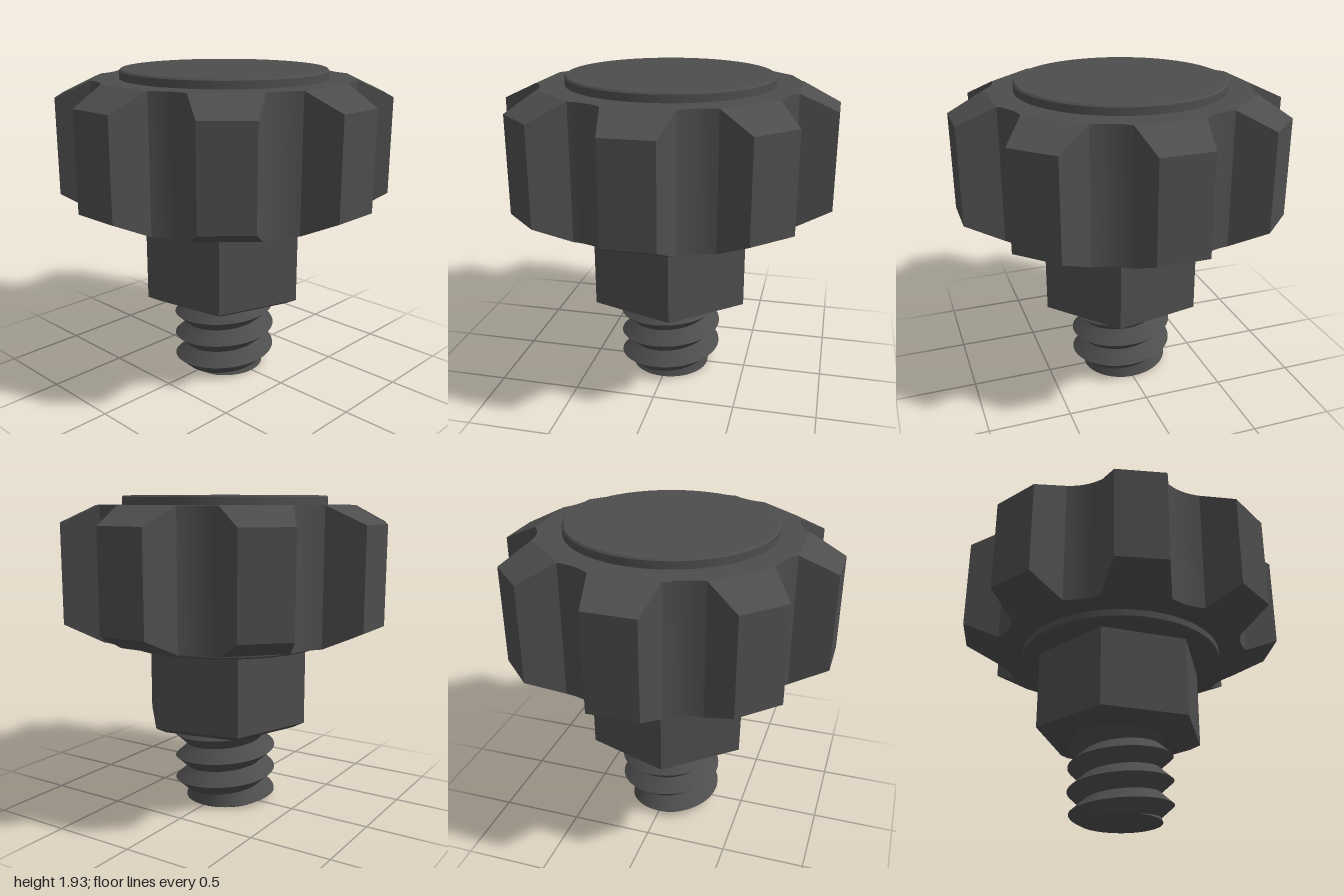
import * as THREE from 'three';
import { toCreasedNormals } from 'three/addons/utils/BufferGeometryUtils.js';

const TEETH = 8, STEP = Math.PI * 2 / TEETH;
const BASE_Z = 0.775, BASE_HALF = 0.2;         // root of each grip tooth
const KNOB_BOTTOM = 1.08, KNOB_HEIGHT = 0.795;

// Round body with a shallow concave scallop between every two teeth
function knobBody() {
  const r = Math.hypot(BASE_Z, BASE_HALF), half = Math.atan2(BASE_HALF, BASE_Z);
  const at = (radius, a) => [radius * Math.cos(a), radius * Math.sin(a)];
  const shape = new THREE.Shape();
  shape.moveTo(...at(r, -half));
  for (let i = 0; i < TEETH; i++) {
    const a = i * STEP;
    shape.lineTo(...at(r, a + half));
    shape.quadraticCurveTo(...at(0.755, a + STEP / 2), ...at(r, a + STEP - half));
  }
  const geo = new THREE.ExtrudeGeometry(shape, { depth: KNOB_HEIGHT, bevelEnabled: false, curveSegments: 8 });
  geo.rotateX(-Math.PI / 2).translate(0, KNOB_BOTTOM, 0);
  return toCreasedNormals(geo, 0.4);
}

// Box narrowed in width and height towards its outer end
function toothGeometry() {
  const geo = new THREE.BoxGeometry(BASE_HALF * 2, KNOB_HEIGHT, 0.225);
  const p = geo.attributes.position;
  for (let i = 0; i < p.count; i++) {
    if (p.getZ(i) > 0) p.setXY(i, p.getX(i) * 0.76, p.getY(i) * 0.735);
  }
  geo.translate(0, KNOB_BOTTOM + KNOB_HEIGHT / 2, BASE_Z + 0.1125);
  geo.computeVertexNormals();
  return geo;
}

// V-shaped helical thread, tapering to the core at its tip
function threadGeometry() {
  const N = 64, pitch = 0.15, outer = 0.322, core = 0.24, top = 0.53;
  const pos = [], index = [], kMin = -8, kMax = 4, rows = kMax - kMin + 1;
  for (let i = 0; i <= N; i++) {
    const a = i / N * Math.PI * 2, crest = 0.445 - pitch * i / N;
    for (let k = kMin; k <= kMax; k++) {
      const y = THREE.MathUtils.clamp(crest + k * pitch / 2, 0, top);
      const turns = (y - crest) / pitch, off = Math.abs(turns - Math.round(turns));
      const r = Math.min(outer - (outer - core) * 2 * off, 0.25 + y * 1.8);
      pos.push(r * Math.cos(a), y, r * Math.sin(a));
    }
  }
  for (let i = 0; i < N; i++) {
    for (let k = 0; k < rows - 1; k++) {
      const a = i * rows + k, b = a + 1, c = a + rows, d = c + 1;
      index.push(a, b, c, b, d, c);
    }
  }
  const geo = new THREE.BufferGeometry();
  geo.setAttribute('position', new THREE.Float32BufferAttribute(pos, 3));
  geo.setIndex(index);
  return toCreasedNormals(geo, 0.6);
}

export function createModel() {
  const model = new THREE.Group();
  model.name = 'thumbScrew';
  const plastic = new THREE.MeshStandardMaterial({ color: 0x4d4d4d });
  plastic.name = 'dark grey plastic';
  const add = (name, geo, parent = model) => {
    const mesh = new THREE.Mesh(geo, plastic);
    mesh.name = name;
    parent.add(mesh);
    return mesh;
  };

  // Grip: scalloped body and chamfered teeth
  const knob = new THREE.Group();
  knob.name = 'knob';
  model.add(knob);
  add('knobBody', knobBody(), knob);
  const tooth = toothGeometry();
  for (let i = 0; i < TEETH; i++) add('gripTooth', tooth, knob).rotation.y = i * STEP;

  // Raised discs above and below the grip, with softened rims
  const rim = [[0, 1.03], [0.62, 1.03], [0.63, 1.04], [0.63, 1.92], [0.62, 1.93], [0, 1.93]];
  const discs = new THREE.LatheGeometry(rim.map(([x, y]) => new THREE.Vector2(x, y)), 64);
  add('raisedDiscs', toCreasedNormals(discs, 0.4), knob);

  // Hexagonal collar with a chamfered lower edge
  const turn = THREE.MathUtils.degToRad(71);
  const hex = (rTop, rBottom, y0, y1, open) =>
    new THREE.CylinderGeometry(rTop, rBottom, y1 - y0, 6, 1, open, turn).toNonIndexed().translate(0, (y0 + y1) / 2, 0);
  const flat = (geo) => { geo.computeVertexNormals(); return geo; };
  add('hexCollar', flat(hex(0.53, 0.53, 0.54, 1.04, false)));
  add('hexChamfer', flat(hex(0.53, 0.46, 0.503, 0.54, false)));

  // Threaded stud and its flat end
  add('screwThread', threadGeometry());
  add('screwTip', new THREE.CircleGeometry(0.25, 64).rotateX(Math.PI / 2));
  return model;
}
